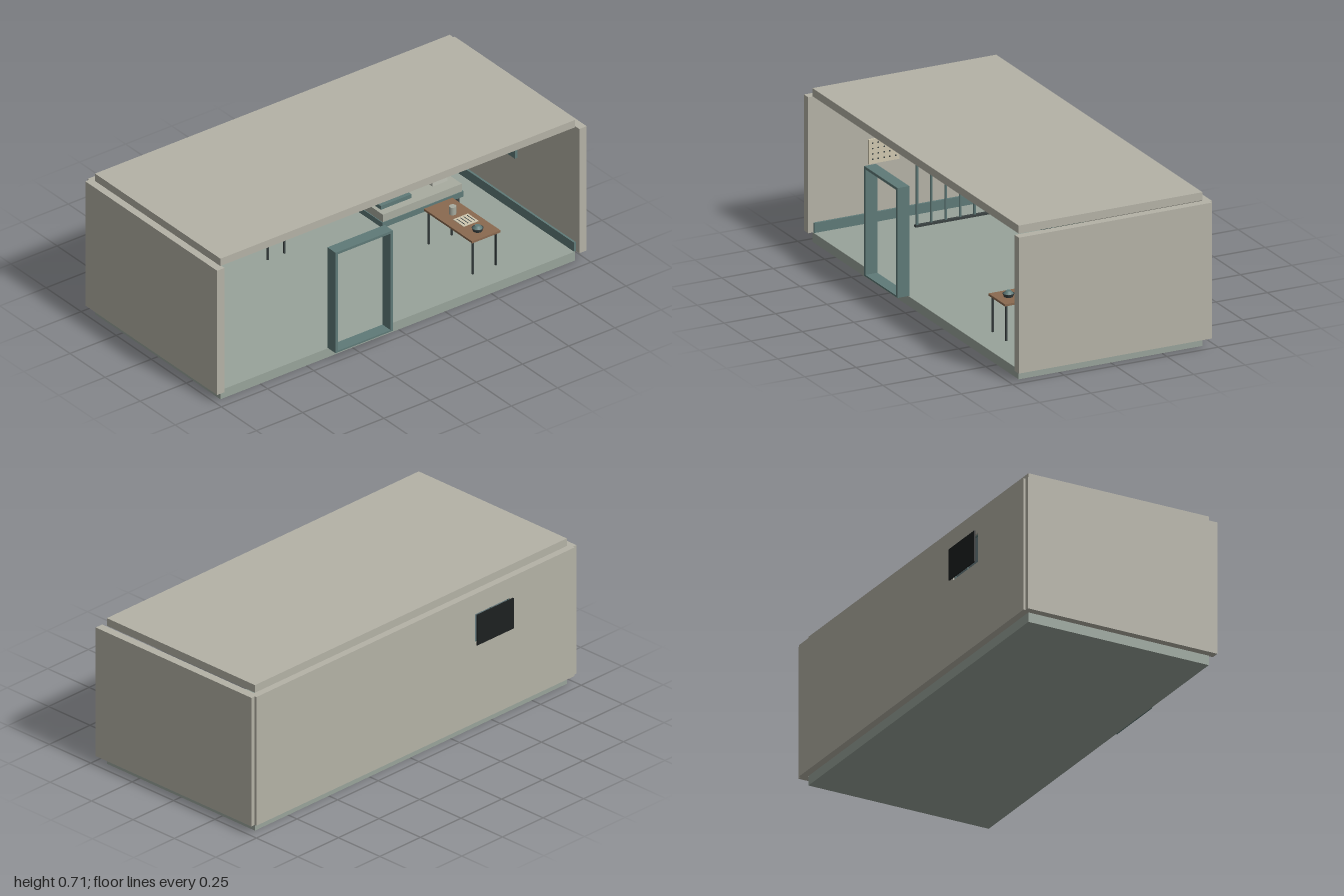
import * as THREE from 'three';

const mats = {};
const mat = (c) => (mats[c] ??= new THREE.MeshStandardMaterial({ color: c }));
const WALL = 0xb4b2a6, FLOOR = 0x98a39a, TEAL = 0x5f7a78, DADO = 0x8a9c8e;
const DARK = 0x3a4242, WOOD = 0x7a5a44, CREAM = 0xd0c8b0, CLOTH = 0xa8aca0;

function group(parent, name) {
  const g = new THREE.Group();
  g.name = name;
  parent.add(g);
  return g;
}

// Box given by its min and max along each axis
function box(parent, name, color, [x0, x1], [y0, y1], [z0, z1]) {
  const m = new THREE.Mesh(new THREE.BoxGeometry(x1 - x0, y1 - y0, z1 - z0), mat(color));
  m.position.set((x0 + x1) / 2, (y0 + y1) / 2, (z0 + z1) / 2);
  m.name = name;
  parent.add(m);
  return m;
}

function cyl(parent, name, color, rTop, rBottom, h, x, y, z, sides = 12) {
  const m = new THREE.Mesh(new THREE.CylinderGeometry(rTop, rBottom, h, sides), mat(color));
  m.position.set(x, y + h / 2, z);
  m.name = name;
  parent.add(m);
  return m;
}

// Four thin legs under a rectangle
function legs(parent, color, t, xs, zs, y0, y1) {
  for (const x of xs) for (const z of zs)
    box(parent, 'leg', color, [x - t, x + t], [y0, y1], [z - t, z + t]);
}

function shell(root) {
  const g = group(root, 'shell');
  box(g, 'floor', FLOOR, [-0.447, 0.447], [0, 0.045], [-0.955, 0.965]);
  box(g, 'roof', WALL, [-0.447, 0.447], [0.67, 0.707], [-0.955, 0.965]);
  box(g, 'frontWall', WALL, [-0.47, 0.47], [0.045, 0.67], [0.96, 1]);
  box(g, 'backWall', WALL, [-0.47, 0.47], [0.045, 0.67], [-1, -0.96]);
  // long wall in pieces around the window opening
  const x = [-0.48, -0.447];
  box(g, 'sideWallFront', WALL, x, [0.045, 0.67], [0.583, 0.98]);
  box(g, 'sideWallBack', WALL, x, [0.045, 0.67], [-0.98, 0.365]);
  box(g, 'sideWallBelowWindow', WALL, x, [0.045, 0.433], [0.365, 0.583]);
  box(g, 'sideWallAboveWindow', WALL, x, [0.572, 0.67], [0.365, 0.583]);
  // painted lower wall and skirting
  box(g, 'wainscot', DADO, [-0.447, -0.442], [0.045, 0.21], [-0.93, 0.95]);
  box(g, 'sideSkirting', TEAL, [-0.447, -0.437], [0.045, 0.09], [-0.95, 0.95]);
  box(g, 'frontSkirting', TEAL, [-0.437, 0.445], [0.045, 0.09], [0.95, 0.96]);
  box(g, 'backSkirting', TEAL, [-0.437, 0.445], [0.045, 0.09], [-0.96, -0.95]);
}

function windowParts(root) {
  const g = group(root, 'window');
  box(g, 'outerPanel', 0x1c2020, [-0.5, -0.494], [0.43, 0.577], [0.36, 0.585]);
  box(g, 'glass', 0x687c80, [-0.466, -0.462], [0.433, 0.572], [0.365, 0.583]);
  for (const z of [0.365, 0.471, 0.577])
    box(g, 'upright', TEAL, [-0.472, -0.446], [0.433, 0.572], [z, z + 0.006]);
  for (const y of [0.433, 0.566])
    box(g, 'rail', TEAL, [-0.472, -0.446], [y, y + 0.006], [0.365, 0.583]);
  box(g, 'sill', CLOTH, [-0.447, -0.4], [0.417, 0.428], [0.342, 0.604]);
  // shelf with a folded stack
  const s = group(root, 'wallShelf');
  box(s, 'board', WOOD, [-0.447, -0.35], [0.355, 0.363], [0.31, 0.6]);
  for (let i = 0; i < 3; i++)
    box(s, 'foldedCloth', i % 2 ? TEAL : CLOTH, [-0.44, -0.37], [0.363 + i * 0.014, 0.375 + i * 0.014], [0.342, 0.567]);
}

function doorFrame(root) {
  const g = group(root, 'doorFrame');
  const x = [0.442, 0.5];
  box(g, 'jamb', TEAL, x, [0.045, 0.55], [0.37, 0.382]);
  box(g, 'jamb', TEAL, x, [0.045, 0.55], [0.072, 0.084]);
  box(g, 'lintel', TEAL, x, [0.538, 0.55], [0.084, 0.37]);
  box(g, 'threshold', TEAL, x, [0.045, 0.053], [0.084, 0.37]);
}

function ceilingServices(root) {
  // two lights, each a frame around a pale diffuser
  for (const z of [0.452, -0.443]) {
    const g = group(root, 'ceilingLight');
    box(g, 'housing', TEAL, [-0.035, 0.035], [0.64, 0.67], [z - 0.112, z + 0.112]);
    box(g, 'diffuser', 0xc4ccc4, [-0.02, 0.02], [0.636, 0.642], [z - 0.095, z + 0.095]);
  }
  const c = group(root, 'conduit');
  cyl(c, 'pipe', DARK, 0.005, 0.005, 1.4, -0.435, -0.7 + 0.64, 0.15).rotation.x = Math.PI / 2;
  c.children[0].position.y = 0.64;
  box(c, 'junctionBox', TEAL, [-0.447, -0.415], [0.605, 0.637], [0.84, 0.872]);
}

function bed(root) {
  const g = group(root, 'bed');
  legs(g, DARK, 0.006, [-0.415, -0.155], [-0.38, -0.775], 0.045, 0.1);
  box(g, 'frame', TEAL, [-0.43, -0.14], [0.098, 0.125], [-0.797, -0.358]);
  box(g, 'mattress', CLOTH, [-0.425, -0.143], [0.125, 0.163], [-0.79, -0.362]);
  box(g, 'pillow', 0xc0c2b6, [-0.38, -0.2], [0.163, 0.185], [-0.754, -0.674]);
  box(g, 'foldedBlanket', TEAL, [-0.36, -0.18], [0.163, 0.182], [-0.545, -0.38]);
}

function table(root) {
  const g = group(root, 'table');
  box(g, 'top', 0x8a6a50, [0, 0.344], [0.21, 0.22], [-0.63, -0.476]);
  legs(g, DARK, 0.004, [0.015, 0.33], [-0.615, -0.49], 0.045, 0.21);
  cyl(g, 'mug', CLOTH, 0.016, 0.016, 0.038, 0.107, 0.22, -0.55);
  box(g, 'paper', CREAM, [0.15, 0.225], [0.22, 0.223], [-0.6, -0.52]);
  for (let i = 0; i < 4; i++)
    box(g, 'paperMark', DARK, [0.16, 0.215], [0.223, 0.2235], [-0.59 + i * 0.018, -0.586 + i * 0.018]);
  cyl(g, 'bowl', DARK, 0.026, 0.02, 0.015, 0.285, 0.22, -0.55, 16);
  cyl(g, 'bowlLid', TEAL, 0.012, 0.022, 0.012, 0.285, 0.235, -0.55, 16);
}

function chair(root) {
  const g = group(root, 'chair');
  box(g, 'seat', TEAL, [-0.4, -0.29], [0.138, 0.146], [0.043, 0.15]);
  legs(g, DARK, 0.004, [-0.39, -0.3], [0.052, 0.142], 0.045, 0.138);
  for (const x of [-0.39, -0.3])
    box(g, 'backPost', DARK, [x - 0.004, x + 0.004], [0.146, 0.21], [0.043, 0.051]);
  box(g, 'backRest', TEAL, [-0.4, -0.29], [0.17, 0.208], [0.044, 0.052]);
}

function rack(root) {
  const g = group(root, 'barRack');
  box(g, 'topRail', DARK, [-0.4, 0.04], [0.56, 0.572], [0.782, 0.798]);
  box(g, 'bottomRail', DARK, [-0.4, 0.04], [0.055, 0.065], [0.782, 0.798]);
  for (let i = 0; i < 7; i++)
    cyl(g, 'bar', TEAL, 0.006, 0.006, 0.5, 0.03 - i * 0.07, 0.062, 0.79, 8);
}

function wallItems(root) {
  // perforated board on the front wall
  const p = group(root, 'pinBoard');
  box(p, 'board', CREAM, [0.03, 0.18], [0.315, 0.427], [0.951, 0.96]);
  for (let i = 0; i < 5; i++) for (let j = 0; j < 4; j++)
    box(p, 'peg', DARK, [0.047 + i * 0.028, 0.053 + i * 0.028], [0.332 + j * 0.025, 0.338 + j * 0.025], [0.949, 0.951]);
  box(root, 'backWallPlaque', TEAL, [-0.1, 0.03], [0.315, 0.4], [-0.96, -0.945]);
  // stepped patches on the long wall
  const s = group(root, 'wallPatches');
  for (const [z, y0, y1] of [[-0.855, 0.31, 0.375], [-0.88, 0.265, 0.31], [-0.9, 0.21, 0.265]])
    box(s, 'patch', 0x9c9b92, [-0.447, -0.444], [y0, y1], [z, z + 0.052]);
  box(s, 'hook', DARK, [-0.447, -0.43], [0.305, 0.311], [-0.83, -0.803]);
}

export function createModel() {
  const root = new THREE.Group();
  root.name = 'cabinRoom';
  for (const build of [shell, windowParts, doorFrame, ceilingServices, bed, table, chair, rack, wallItems])
    build(root);
  return root;
}
